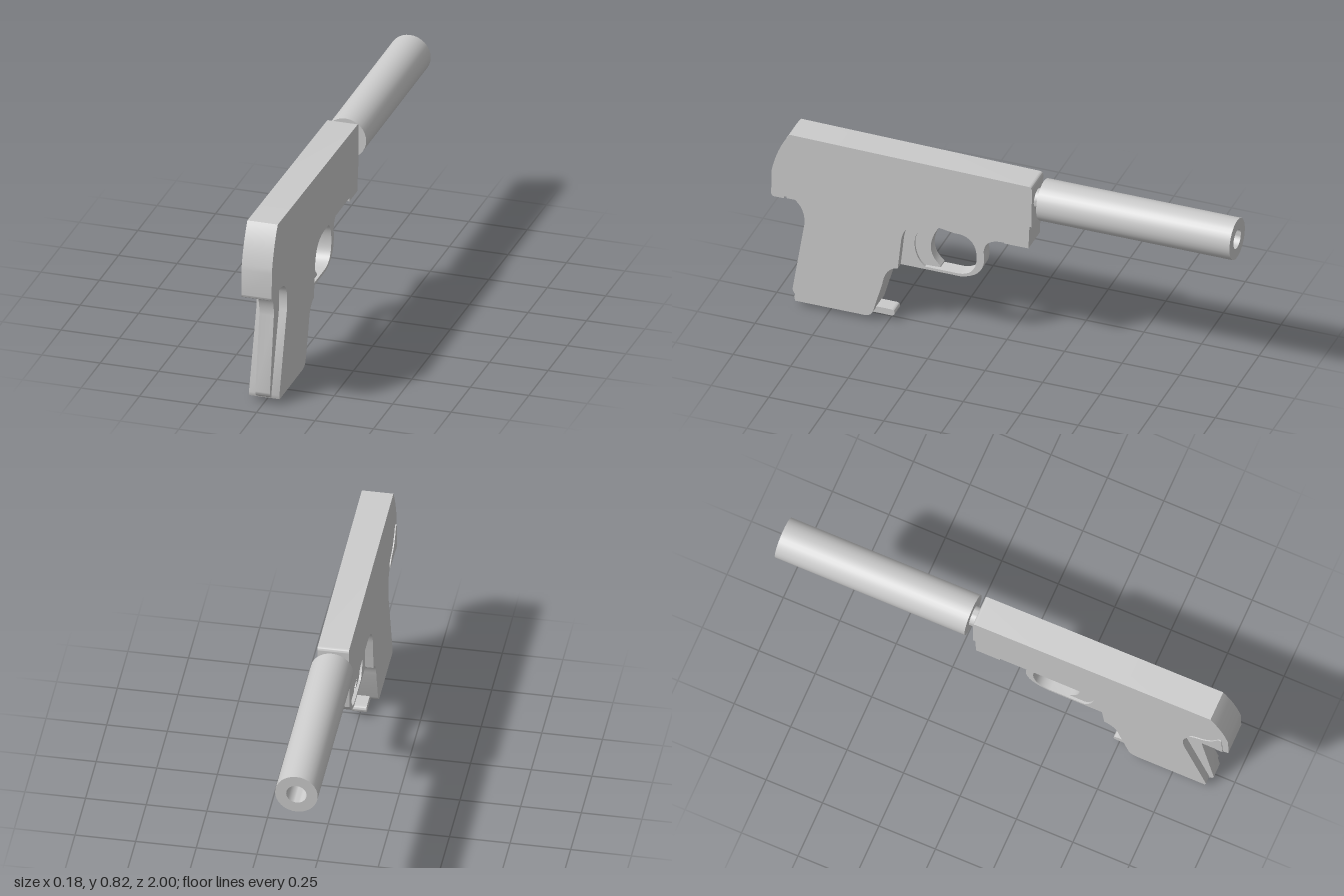
import * as THREE from 'three';
import { toCreasedNormals } from 'three/addons/utils/BufferGeometryUtils.js';

const material = new THREE.MeshStandardMaterial({ color: 0xcccccc });

// Side outline in (z, y): [z, y] is a straight edge, [cz, cy, z, y] a curved one.
function trace(path, steps) {
  path.moveTo(...steps[0]);
  for (const s of steps.slice(1)) {
    if (s.length === 2) path.lineTo(...s);
    else path.quadraticCurveTo(...s);
  }
  return path;
}

// Extrudes a side outline across the width, between x0 and x1.
function slab(name, x0, x1, outline, holes = []) {
  const shape = trace(new THREE.Shape(), outline);
  for (const h of holes) shape.holes.push(trace(new THREE.Path(), h));
  let geo = new THREE.ExtrudeGeometry(shape, { depth: x1 - x0, bevelEnabled: false, curveSegments: 10 });
  geo.translate(0, 0, -x1);
  geo.rotateY(-Math.PI / 2);
  geo = toCreasedNormals(geo, 0.6);
  const mesh = new THREE.Mesh(geo, material);
  mesh.name = name;
  return mesh;
}

// Lathe about the z axis from [radius, z] points.
function turned(name, points, y) {
  let geo = new THREE.LatheGeometry(points.map(([r, z]) => new THREE.Vector2(r, z)), 32);
  geo.rotateX(Math.PI / 2);
  geo = toCreasedNormals(geo, 0.6);
  const mesh = new THREE.Mesh(geo, material);
  mesh.name = name;
  mesh.position.y = y;
  return mesh;
}

export function createModel() {
  const group = new THREE.Group();
  group.name = 'pistol';

  // Full-width slide and grip in one outline
  group.add(slab('body', -0.065, 0.065, [
    [0.92, 0.817], [0.975, 0.74, 0.998, 0.63],
    [1, 0.52], [1, 0.505, 0.985, 0.505],
    [0.945, 0.505], [0.945, 0.515], [0.88, 0.515],
    [0.78, 0.51, 0.802, 0.38],
    [0.9, 0.04], [0.895, 0.022],
    [0.6, 0.022], [0.565, 0.022, 0.557, 0.05],
    [0.517, 0.19], [0.505, 0.27, 0.45, 0.28],
    [0.435, 0.42], [0.42, 0.515, 0.32, 0.52],
    [-0.012, 0.52], [-0.012, 0.505],
    [-0.118, 0.505], [-0.122, 0.61], [-0.131, 0.61],
    [-0.133, 0.785], [-0.133, 0.802, -0.115, 0.802],
  ]));

  // Narrow trigger guard with its finger opening
  group.add(slab('triggerGuard', -0.031, 0.031, [
    [-0.012, 0.54], [-0.012, 0.485], [0.02, 0.485],
    [0.085, 0.48, 0.09, 0.42], [0.07, 0.30, 0.19, 0.28],
    [0.46, 0.28], [0.55, 0.35], [0.55, 0.54],
  ], [[
    [0.28, 0.492], [0.22, 0.482], [0.19, 0.482],
    [0.12, 0.47, 0.12, 0.385], [0.12, 0.30, 0.195, 0.292],
    [0.345, 0.292], [0.39, 0.33, 0.39, 0.4], [0.385, 0.49, 0.28, 0.492],
  ]]));

  // Crescent trigger
  group.add(slab('trigger', -0.022, 0.022, [
    [0.28, 0.5], [0.365, 0.375, 0.28, 0.305], [0.28, 0.298],
    [0.345, 0.296], [0.4, 0.33, 0.4, 0.4], [0.395, 0.5, 0.3, 0.5],
  ]));

  // Narrow strap along the rear of the grip
  group.add(slab('backStrap', -0.031, 0.031, [
    [0.948, 0.52], [0.945, 0.485], [0.91, 0.485],
    [0.865, 0.45, 0.868, 0.38], [0.92, 0.055],
    [0.918, 0.03, 0.89, 0.024], [0.8, 0.024], [0.74, 0.4], [0.78, 0.53],
  ]));

  // Magazine toe in front of the grip
  group.add(slab('magazineToe', -0.031, 0.031, [
    [0.6, 0.023], [0.6, 0.052], [0.495, 0.052],
    [0.476, 0.052, 0.476, 0.038], [0.476, 0.023, 0.495, 0.023],
  ]));

  // Lanyard loop under the heel
  group.add(slab('lanyardLoop', -0.015, 0.015, [
    [0.885, 0.025], [0.868, 0, 0.836, 0], [0.804, 0, 0.787, 0.025],
    [0.797, 0.025], [0.81, 0.007, 0.836, 0.007], [0.862, 0.007, 0.875, 0.025],
  ]));

  // Safety lever on one flank
  group.add(slab('safetyLever', -0.07, -0.06, [
    [0.97, 0.625], [0.955, 0.625], [0.925, 0.565, 0.88, 0.55],
    [0.825, 0.54, 0.825, 0.512], [0.945, 0.512], [0.945, 0.507], [0.975, 0.507],
  ]));

  // Barrel stub and bored suppressor
  group.add(turned('barrel', [[0.042, -0.175], [0.042, -0.1]], 0.712));
  group.add(turned('suppressor', [
    [0, -0.18], [0.042, -0.18], [0.042, -1], [0.088, -1], [0.088, -0.16], [0, -0.16],
  ], 0.713));

  return group;
}
